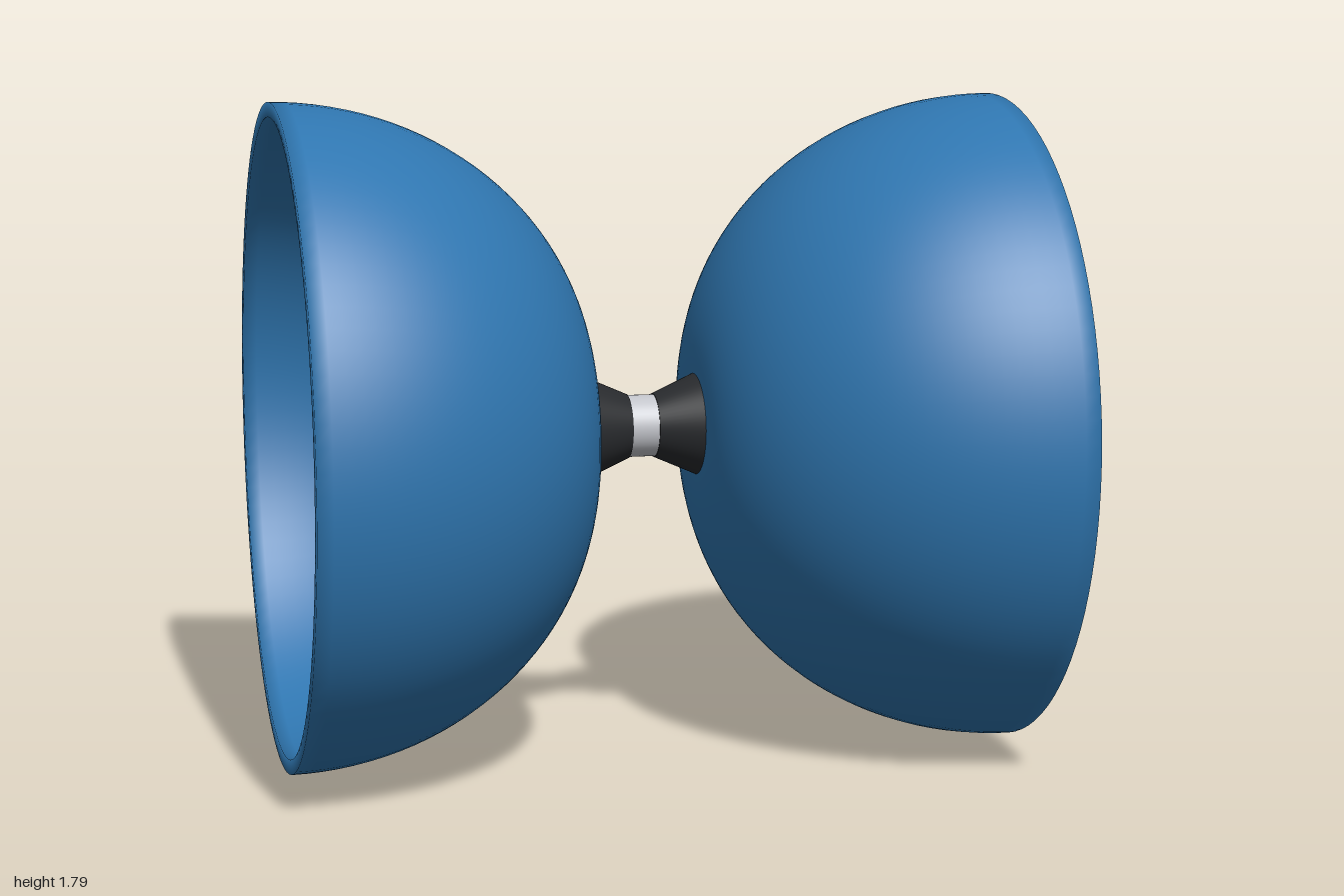
import * as THREE from 'three';

const AXIS_Y = 0.897;
const material = (color) => new THREE.MeshStandardMaterial({ color });

// Quarter-ellipse from the flat base (t = 0) to the rim (t = 1); x = radius, y = distance along the axle
function bowlPoint(t, base, apex, rimRadius) {
  const a = t * Math.PI / 2;
  return new THREE.Vector2(base + (rimRadius - base) * Math.sin(a), 1 - (1 - apex) * Math.cos(a));
}

// Thick bowl: outer wall up to a square lip, then the inner wall back down to a thicker floor
function cupGeometry() {
  const base = 0.14, steps = 32;
  const points = [new THREE.Vector2(0.05, 0.153)];
  for (let i = 0; i <= steps; i++) points.push(bowlPoint(i / steps, base, 0.153, 0.897));
  for (let i = steps; i >= 0; i--) points.push(bowlPoint(i / steps, base, 0.23, 0.857));
  points.push(new THREE.Vector2(0.05, 0.23));
  return new THREE.LatheGeometry(points, 96);
}

// Cone flaring from the sleeve into the cup, closed inside by a tapering nut
function hubGeometry() {
  const profile = [[0.05, 0.037], [0.088, 0.037], [0.088, 0.037], [0.14, 0.155], [0.152, 0.185], [0.152, 0.235], [0.13, 0.265], [0.09, 0.285], [0.04, 0.29]];
  return new THREE.LatheGeometry(profile.map(([r, y]) => new THREE.Vector2(r, y)), 64);
}

export function createModel() {
  const model = new THREE.Group();
  model.name = 'diabolo';
  const blue = material(0x2f76b0);
  const black = material(0x282a2d);
  const metal = material(0xc2c4ca);
  const cup = cupGeometry();
  const hub = hubGeometry();

  const add = (parent, name, geometry, mat) => {
    const mesh = new THREE.Mesh(geometry, mat);
    mesh.name = name;
    parent.add(mesh);
  };

  // Everything is turned about the axle, then laid along x
  const spin = new THREE.Group();
  spin.name = 'spinAssembly';
  spin.rotation.z = -Math.PI / 2;
  spin.position.y = AXIS_Y;
  model.add(spin);

  // Axle sleeve, and the thin rod running through both hubs
  add(spin, 'axleSleeve', new THREE.CylinderGeometry(0.085, 0.085, 0.1, 48), metal);
  add(spin, 'axleRod', new THREE.CylinderGeometry(0.053, 0.053, 0.6, 48), metal);

  // A cup and its conical hub on each side
  for (const side of [1, -1]) {
    const half = new THREE.Group();
    half.name = side > 0 ? 'leftHalf' : 'rightHalf';
    if (side < 0) half.rotation.x = Math.PI;
    add(half, 'cup', cup, blue);
    add(half, 'hub', hub, black);
    spin.add(half);
  }
  return model;
}
